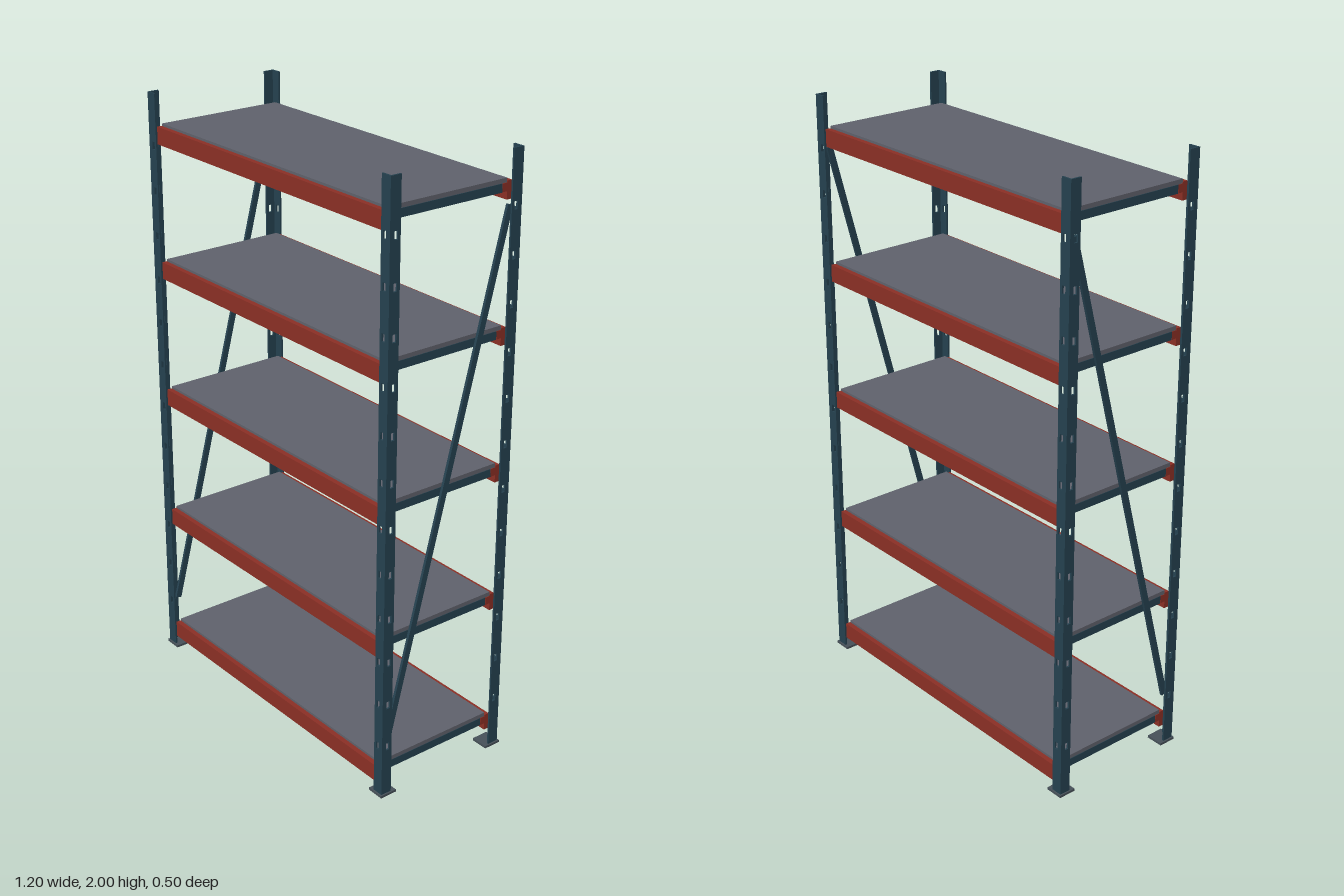
import * as THREE from 'three';

const steel = new THREE.MeshStandardMaterial({ color: 0x25414f });
steel.name = 'blue steel';
const red = new THREE.MeshStandardMaterial({ color: 0x8a2f25 });
red.name = 'red beam';
const grey = new THREE.MeshStandardMaterial({ color: 0x5f616b });
grey.name = 'grey shelf';
const plate = new THREE.MeshStandardMaterial({ color: 0x465058 });
plate.name = 'foot plate grey';

const X = 0.595, Z = 0.245; // outer corner of the posts
const T = 0.006, W = 0.038; // flange thickness and width
const FOOT = 0.008;

function box(name, material, x0, x1, y0, y1, z0, z1) {
  const m = new THREE.Mesh(new THREE.BoxGeometry(Math.abs(x1 - x0), y1 - y0, Math.abs(z1 - z0)), material);
  m.position.set((x0 + x1) / 2, (y0 + y1) / 2, (z0 + z1) / 2);
  m.name = name;
  return m;
}

// Upright strip with a column of slots, centred across its width
function slottedStrip(width, slotX) {
  const s = new THREE.Shape();
  s.moveTo(-width / 2, FOOT);
  s.lineTo(width / 2, FOOT);
  s.lineTo(width / 2, 2);
  s.lineTo(-width / 2, 2);
  s.closePath();
  for (let i = 0; i < 12; i++) {
    const y = 0.18 + i * 0.15, w = 0.0065, h = 0.0125;
    const hole = new THREE.Path();
    hole.moveTo(slotX - w, y - h);
    hole.lineTo(slotX - w, y + h);
    hole.lineTo(slotX + w, y + h);
    hole.lineTo(slotX + w, y - h);
    hole.closePath();
    s.holes.push(hole);
  }
  const g = new THREE.ExtrudeGeometry(s, { depth: T, bevelEnabled: false });
  g.translate(0, 0, -T / 2);
  return g;
}

// Angle-iron post with its corner outwards, standing on a foot plate
function post(sx, sz) {
  const g = new THREE.Group();
  g.name = 'post';
  const face = new THREE.Mesh(slottedStrip(W, -sx * 0.004), steel);
  face.name = 'postFaceFlange';
  face.position.set(sx * (X - W / 2), 0, sz * (Z - T / 2));
  const side = new THREE.Mesh(slottedStrip(W - T, 0), steel);
  side.name = 'postSideFlange';
  side.rotation.y = Math.PI / 2;
  side.position.set(sx * (X - T / 2), 0, sz * (Z - T - (W - T) / 2));
  g.add(face, side, box('foot', plate, sx * 0.54, sx * 0.6, 0, FOOT, sz * 0.19, sz * 0.25));
  return g;
}

// Shelf panel on stepped beams and end bars
function shelf(top) {
  const g = new THREE.Group();
  g.name = 'shelf';
  g.add(box('shelfPanel', grey, -0.555, 0.555, top - 0.014, top, -0.222, 0.222));
  for (const s of [1, -1]) {
    g.add(box('beam', red, -0.557, 0.557, top - 0.065, top - 0.008, s * 0.222, s * 0.239));
    g.add(box('beamLedge', red, -0.557, 0.557, top - 0.04, top - 0.014, s * 0.204, s * 0.222));
    g.add(box('endBar', steel, s * 0.532, s * 0.556, top - 0.041, top - 0.0145, -0.207, 0.207));
  }
  return g;
}

export function createModel() {
  const model = new THREE.Group();
  model.name = 'shelvingRack';
  for (const sx of [1, -1]) {
    for (const sz of [1, -1]) model.add(post(sx, sz));

    // Diagonal brace, low at the front and high at the back
    const dy = 1.65, dz = -0.43;
    const brace = new THREE.Mesh(new THREE.BoxGeometry(0.009, Math.hypot(dy, dz), 0.021), steel);
    brace.name = 'diagonalBrace';
    brace.position.set(sx * 0.577, 1.005, 0);
    brace.rotation.x = Math.atan2(dz, dy);
    model.add(brace);
  }
  for (let i = 0; i < 5; i++) model.add(shelf(0.102 + i * 0.45));
  return model;
}
